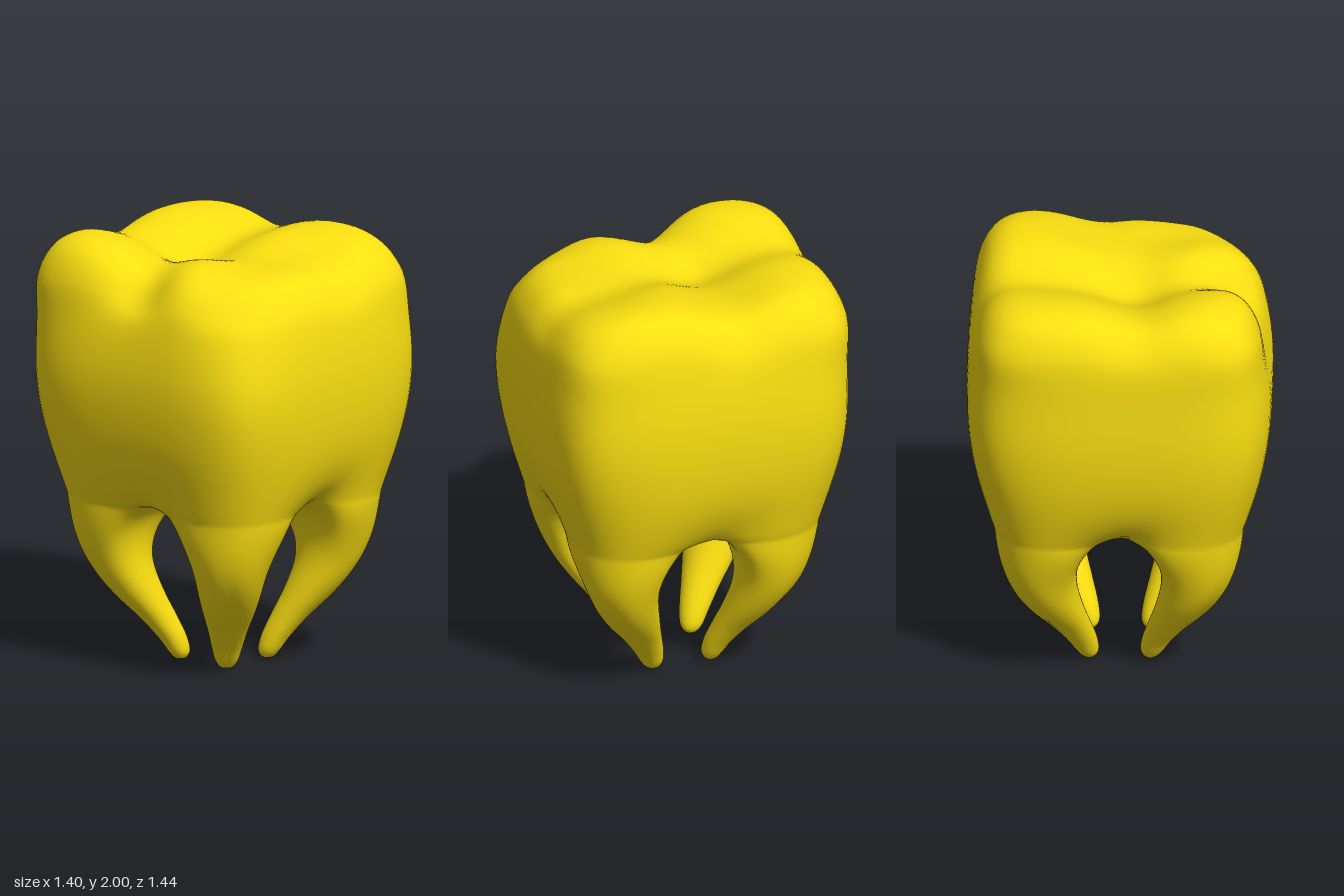
import * as THREE from 'three';
import { mergeVertices } from 'three/addons/utils/BufferGeometryUtils.js';

const { lerp, smoothstep } = THREE.MathUtils;
const bump = (d, width) => Math.exp(-((d / width) ** 2));

const SEGMENTS = 14;
const ARCH = 0.785; // height where the roots part

// Points around the square [-1,1]^2, counterclockwise seen from above
function squareLoop(perSide) {
  const loop = [];
  for (let side = 0; side < 4; side++) {
    for (let i = 0; i < perSide; i++) {
      const t = -1 + (2 * i) / perSide;
      loop.push([[t, 1], [1, -t], [-t, -1], [-1, t]][side]);
    }
  }
  loop.push(loop[0]);
  return loop;
}

// Turns a point of a square into the matching point of a rounded square
function roundOff(u, v, p) {
  const m = Math.max(Math.abs(u), Math.abs(v));
  if (m === 0) return [0, 0];
  const k = m / (Math.abs(u) ** p + Math.abs(v) ** p) ** (1 / p);
  return [u * k, v * k];
}

// Crown cross-section; the wall rolls under above each arch between the roots
function crownPoint(u, v, halfWidth, y) {
  const [a, b] = roundOff(u, v, lerp(3.6, 5, smoothstep(y, 0.65, 1.35)));
  const big = Math.max(Math.abs(u), Math.abs(v)) || 1;
  const ratio = Math.min(Math.abs(u), Math.abs(v)) / big;
  const roll = 0.17 * Math.max(0, (1.14 - y) / (1.14 - ARCH)) ** 3;
  const k = halfWidth * (1 - roll * bump(ratio, 0.32));
  return [a * k, b * k * 1.03];
}

// Height of the chewing surface: four cusps parted by crossing grooves
function chewingHeight(x, z) {
  const front = smoothstep(z, -0.05, 0.4);
  const cross = lerp(0.065, 0.095, front) * bump(x + lerp(0.08, -0.02, front), lerp(0.18, 0.27, front));
  const grooveZ = -0.13 + 0.11 * smoothstep(-x, 0.1, 0.65);
  const along = (0.075 + 0.09 * smoothstep(-x, 0.2, 0.65)) * bump(z - grooveZ, 0.19);
  const pit = 0.03 * bump(Math.hypot(x, z + 0.1), 0.25);
  const lowCusp = 0.045 * smoothstep(-x, 0, 0.3) * front;
  const lowCorner = 0.1 * bump(Math.hypot(x + 0.62, z - 0.56), 0.34);
  const lowFront = 0.03 * smoothstep(z, 0.3, 0.6) * smoothstep(x, -0.1, 0.2);
  return 2.0 - cross - along - pit - lowCusp - lowCorner - lowFront;
}

// Side groove, one worn corner, and the steeper back wall
function shapeWall(x, z, y) {
  const dent = 0.05 * bump(z + 0.04, 0.24) * smoothstep(y, 1.35, 1.85) * smoothstep(-x, 0.3, 0.6);
  const worn = 0.04 * bump(Math.hypot(x + 0.6, z - 0.6), 0.3) * smoothstep(y, 1.35, 1.8);
  const lean = 0.035 * smoothstep(y, 1.45, 1.85) * smoothstep(-z, 0.2, 0.6);
  return [x + dent + worn, y, z - lean - worn];
}

// Samples a smooth curve through profile triples
function sampleProfile(points, count) {
  const curve = new THREE.CatmullRomCurve3(points.map((p) => new THREE.Vector3(...p)));
  return curve.getPoints(count);
}

// Skins successive loops with triangles
function skin(rows, out, flip) {
  for (let j = 0; j < rows.length - 1; j++) {
    for (let i = 0; i < rows[j].length - 1; i++) {
      const a = rows[j][i], b = rows[j][i + 1], c = rows[j + 1][i + 1], d = rows[j + 1][i];
      const quad = flip ? [a, c, b, a, d, c] : [a, b, c, a, c, d];
      for (const p of quad) out.push(...p);
    }
  }
}

// Crown wall, rounded rim and chewing surface
function crownRows() {
  const loop = squareLoop(SEGMENTS * 2);
  // Wall: half width, height
  const wall = sampleProfile([
    [0.608, ARCH, 0], [0.658, 1.0, 0], [0.69, 1.2, 0], [0.703, 1.4, 0], [0.692, 1.58, 0],
  ], 22);
  const rows = wall.map((w) => loop.map(([u, v]) => {
    const [x, z] = crownPoint(u, v, w.x, w.y);
    return shapeWall(x, z, w.y);
  }));
  // Top: half width, drop below the chewing surface
  const top = sampleProfile([
    [0.692, 0.42, 0], [0.675, 0.28, 0], [0.645, 0.15, 0], [0.595, 0.06, 0], [0.53, 0.015, 0],
    [0.45, 0, 0], [0.3, 0, 0], [0.15, 0, 0], [0, 0, 0],
  ], 36);
  for (const t of top.slice(1)) {
    rows.push(loop.map(([u, v]) => {
      const [x, z] = crownPoint(u, v, Math.max(t.x, 0), 2);
      const surface = chewingHeight(x, z) - t.y;
      const y = lerp(2 - t.y, surface, 1 - smoothstep(t.y, 0.05, 0.42));
      return shapeWall(x, z, y);
    }));
  }
  return rows;
}

// One root: its top loop fills a quarter of the crown's underside
function rootRows() {
  const loop = squareLoop(SEGMENTS);
  // Height, inner edge, outer edge
  const profile = sampleProfile([
    [0, 0.136, 0.137], [0.005, 0.114, 0.168], [0.035, 0.096, 0.196], [0.1, 0.1, 0.235],
    [0.2, 0.126, 0.305], [0.3, 0.154, 0.387], [0.4, 0.176, 0.459], [0.5, 0.19, 0.516],
    [0.6, 0.188, 0.56], [0.69, 0.162, 0.588], [0.755, 0.11, 0.602], [0.78, 0.05, 0.607],
    [ARCH, 0, 0.608],
  ], 48);
  return profile.map(({ x: y, y: inner, z: outer }) => {
    const w = 1 - smoothstep(y, 0.46, ARCH);
    const start = inner / outer;
    return loop.map(([a, b]) => {
      // The corner on the outside of the tooth is the roundest
      const [ra, rb] = roundOff(a, b, lerp(2.1, 1.5, smoothstep(Math.min(a, b), -0.2, 1)));
      const u = start + ((1 - start) * (lerp(a, ra, w) + 1)) / 2;
      const v = start + ((1 - start) * (lerp(b, rb, w) + 1)) / 2;
      const [cx, cz] = crownPoint(u, v, outer, ARCH);
      return [lerp(cx, u * outer, w), y, lerp(cz, v * outer, w)];
    });
  });
}

// Relaxes the welded skin where the roots flow into the crown
function relax(geometry, passes) {
  const pos = geometry.attributes.position;
  const index = geometry.index.array;
  const neighbours = Array.from({ length: pos.count }, () => new Set());
  for (let i = 0; i < index.length; i += 3) {
    for (let k = 0; k < 3; k++) {
      const a = index[i + k], b = index[i + ((k + 1) % 3)];
      if (a !== b) {
        neighbours[a].add(b);
        neighbours[b].add(a);
      }
    }
  }
  let points = neighbours.map((_, i) => new THREE.Vector3().fromBufferAttribute(pos, i));
  for (let pass = 0; pass < passes; pass++) {
    points = points.map((p, i) => {
      const weight = 0.6 * smoothstep(p.y, 0.3, 0.6) * (1 - smoothstep(p.y, 1.6, 1.8));
      if (weight === 0) return p;
      const mean = new THREE.Vector3();
      for (const n of neighbours[i]) mean.add(points[n]);
      return p.clone().lerp(mean.divideScalar(neighbours[i].size), weight);
    });
  }
  points.forEach((p, i) => pos.setXYZ(i, p.x, p.y, p.z));
}

export function createModel() {
  const group = new THREE.Group();
  group.name = 'tooth';

  // Crown and four mirrored roots, welded into one smooth skin
  const positions = [];
  skin(crownRows(), positions, false);
  const root = rootRows();
  for (const sx of [1, -1]) {
    for (const sz of [1, -1]) {
      const mirrored = root.map((row) => row.map(([x, y, z]) => [x * sx, y, z * sz]));
      skin(mirrored, positions, sx * sz < 0);
    }
  }
  const soup = new THREE.BufferGeometry();
  soup.setAttribute('position', new THREE.Float32BufferAttribute(positions, 3));
  const geometry = mergeVertices(soup, 1e-4);
  relax(geometry, 16);
  geometry.computeVertexNormals();

  const mesh = new THREE.Mesh(geometry, new THREE.MeshStandardMaterial({ color: 0xfbdf10 }));
  mesh.name = 'crownAndRoots';
  group.add(mesh);
  return group;
}
